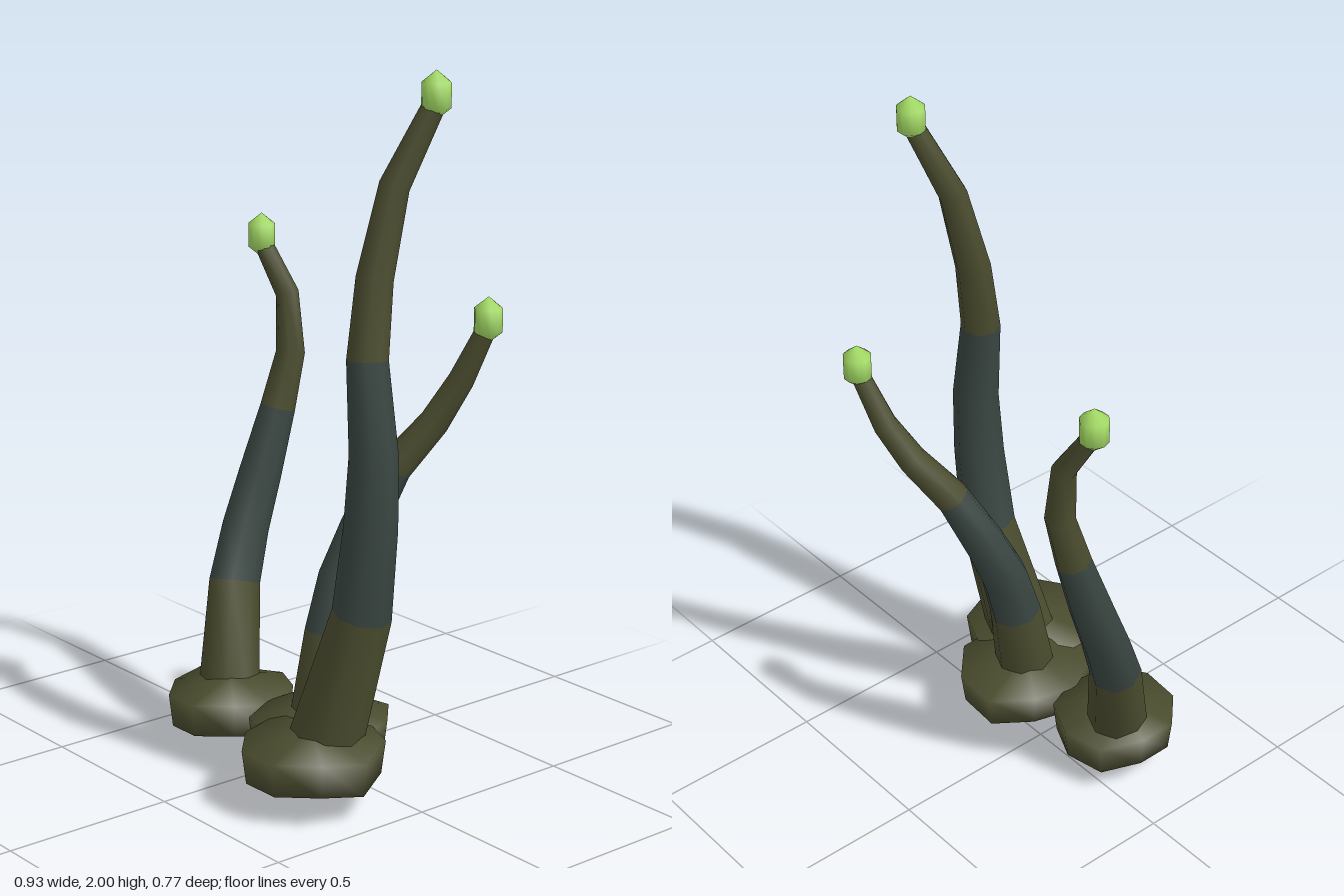
import * as THREE from 'three';
import { mergeVertices } from 'three/addons/utils/BufferGeometryUtils.js';

// Skins closed rings of equal point count, listed from bottom to top
function loft(rings) {
  const n = rings[0].length, index = [];
  for (let i = 0; i < rings.length - 1; i++) {
    for (let j = 0; j < n; j++) {
      const k = (j + 1) % n, a = i * n + j, b = i * n + k;
      index.push(a, b, a + n, b, b + n, a + n);
    }
  }
  let geo = new THREE.BufferGeometry().setFromPoints(rings.flat());
  geo.setIndex(index);
  geo = mergeVertices(geo);
  geo.computeVertexNormals();
  return geo;
}

// Squashed nine-sided bulb with a slightly uneven rim, closed by two poles
function bulbGeometry([x, z, rx, rz, turn], bottom, sides = 9) {
  const ring = (y, scale, wave) => Array.from({ length: sides }, (_, j) => {
    const a = turn + (j / sides) * Math.PI * 2;
    return new THREE.Vector3(x + Math.sin(a) * rx * scale, y + wave * Math.sin(j * 2.3),
      z + Math.cos(a) * rz * scale);
  });
  return loft([ring(bottom, 0, 0), ring(0.085, 0.94, 0.012), ring(0.18, 1, 0.012), ring(0.22, 0, 0)]);
}

// Tapering stem: stations are [x, y, z, radius], rings square to the path
function stemGeometry(stations, sides) {
  const centres = stations.map(([x, y, z]) => new THREE.Vector3(x, y, z));
  const last = centres.length - 1;
  const rings = centres.map((c, i) => {
    const t = centres[Math.min(i + 1, last)].clone().sub(centres[Math.max(i - 1, 0)]).normalize();
    const v = new THREE.Vector3(1, 0, 0).addScaledVector(t, -t.x).normalize();
    const u = v.clone().cross(t);
    return Array.from({ length: sides }, (_, j) => {
      const a = (j / sides) * Math.PI * 2, r = stations[i][3];
      return c.clone().addScaledVector(u, r * Math.cos(a)).addScaledVector(v, r * Math.sin(a));
    });
  });
  return loft(rings);
}

const material = (name, color) => {
  const m = new THREE.MeshStandardMaterial({ color });
  m.name = name;
  return m;
};

// One stalk: bulb as [x, z, radius x, radius z, turn], its lowest point, stem stations
function createStalk(name, { olive, slate, lime }, bulb, bottom, stations) {
  const group = new THREE.Group();
  group.name = name;
  const add = (part, geo, mat) => {
    const mesh = new THREE.Mesh(geo, mat);
    mesh.name = part;
    group.add(mesh);
    return mesh;
  };
  add('bulb', bulbGeometry(bulb, bottom), olive);

  // Stem with a slate band between its second and fifth stations
  const sides = 8, perRing = sides * 6;
  const stem = stemGeometry(stations, sides);
  stem.addGroup(0, perRing, 0);
  stem.addGroup(perRing, 3 * perRing, 1);
  stem.addGroup(4 * perRing, (stations.length - 5) * perRing, 0);
  add('stem', stem, [olive, slate]);

  // Pointed bud at the tip
  const [x, y, z] = stations[stations.length - 1];
  const bud = add('bud', new THREE.SphereGeometry(1, 10, 3), lime);
  bud.scale.set(0.046, 0.065, 0.046);
  bud.position.set(x, y + 0.015, z);
  return group;
}

export function createModel() {
  const colours = {
    olive: material('olive skin', 0x4b4d2f),
    slate: material('slate band', 0x3a4642),
    lime: material('lime bud', 0xa6de66),
  };
  const model = new THREE.Group();
  model.name = 'stalkCluster';
  model.add(
    createStalk('tallStalk', colours, [0.262, 0.19, 0.2, 0.2, 0.31], 0.02, [
      [0.255, 0.12, 0.155, 0.106], [0.36, 0.55, 0.1, 0.082], [0.385, 0.8, 0.092, 0.073],
      [0.387, 1.0, 0.085, 0.066], [0.357, 1.25, 0.083, 0.056], [0.345, 1.46, 0.05, 0.05],
      [0.357, 1.7, -0.005, 0.041], [0.42, 1.92, -0.09, 0.03]]),
    createStalk('leftStalk', colours, [-0.203, 0.112, 0.176, 0.184, 0.29], 0.025, [
      [-0.23, 0.12, 0.1, 0.09], [-0.312, 0.45, 0.01, 0.074], [-0.335, 0.6, -0.05, 0.068],
      [-0.336, 0.75, -0.105, 0.062], [-0.328, 0.94, -0.165, 0.051], [-0.321, 1.1, -0.207, 0.042],
      [-0.342, 1.27, -0.212, 0.034], [-0.428, 1.415, -0.187, 0.027]]),
    createStalk('backStalk', colours, [0.128, 0.05, 0.19, 0.208, 0], 0, [
      [0.132, 0.12, 0.06, 0.09], [0.12, 0.41, 0.005, 0.075], [0.115, 0.56, -0.04, 0.069],
      [0.126, 0.7, -0.1, 0.061], [0.173, 0.87, -0.175, 0.05], [0.245, 1.0, -0.257, 0.042],
      [0.292, 1.12, -0.312, 0.036], [0.357, 1.28, -0.348, 0.027]]),
  );
  return model;
}
